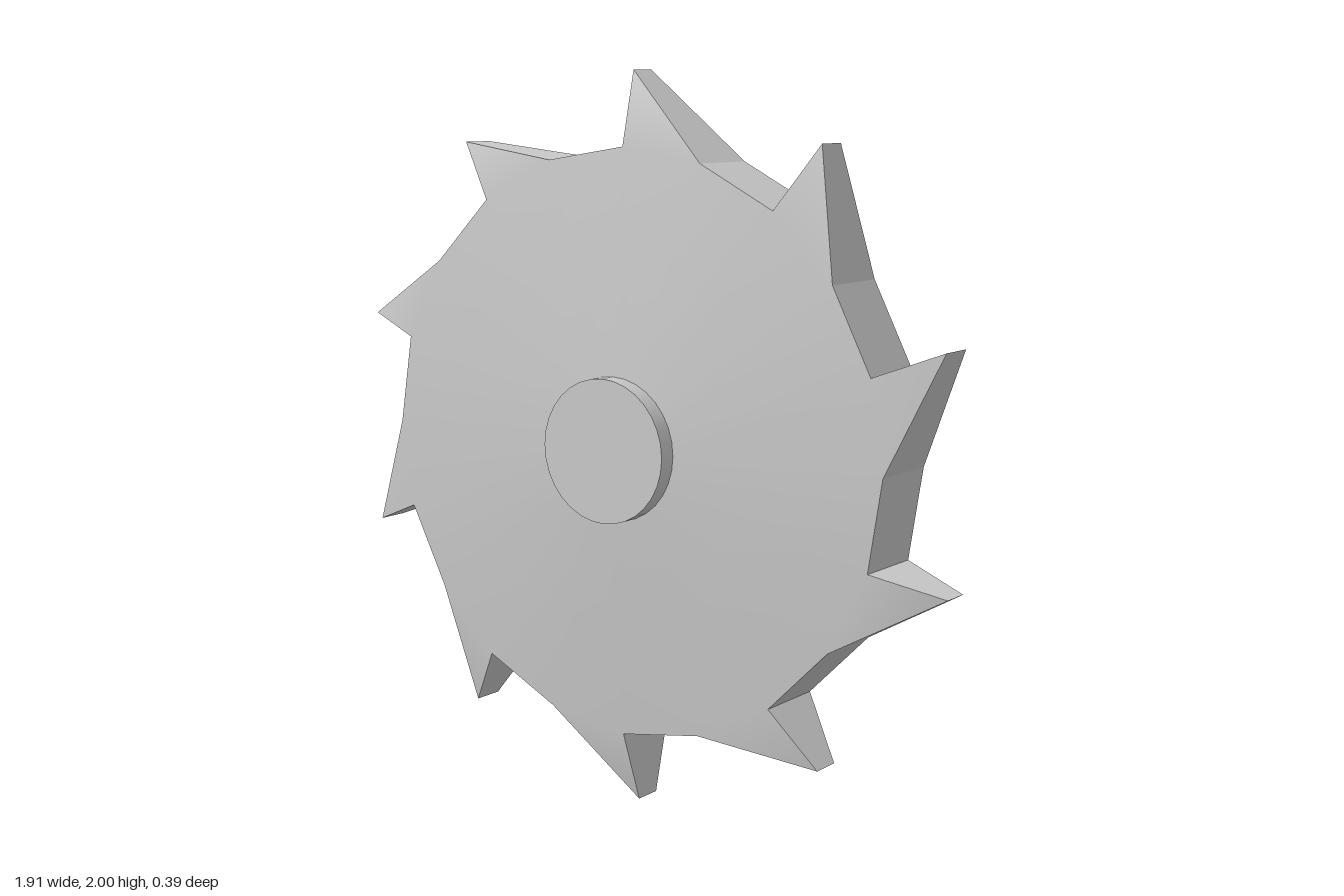
import * as THREE from 'three';

const TEETH = 10, RIM_R = 0.8, RIM_Z = 0.104, HUB_R = 0.195, HUB_Z = 0.148;
// front and back depth of each tooth tip, counter-clockwise from the top
const TIP_Z = [[0.04, -0.04], [0.04, -0.06], [0.035, -0.07], [0.04, -0.05], [0.04, -0.05],
  [0.045, -0.035], [0.06, -0.025], [0.04, -0.04], [0.065, -0.035], [0.05, -0.04]];

const polar = (r, deg, z) => {
  const a = THREE.MathUtils.degToRad(deg);
  return [r * Math.cos(a), r * Math.sin(a), z];
};

// One side of the disc: a shallow cone from hub to rim plus the tooth flanks
function discSide(side) {
  const s = side === 0 ? 1 : -1, n = TEETH * 2, pos = [], index = [];
  for (let k = 0; k < n; k++) pos.push(...polar(HUB_R * 0.9, 90 + 18 * k, s * HUB_Z));
  for (let k = 0; k < n; k++) pos.push(...polar(RIM_R, 90 + 18 * k, s * RIM_Z));
  for (let i = 0; i < TEETH; i++) pos.push(...polar(1, 90.6 + 36 * i, TIP_Z[i][side]));
  const tri = (a, b, c) => index.push(...(s > 0 ? [a, b, c] : [a, c, b]));
  for (let k = 0; k < n; k++) {
    const m = (k + 1) % n;
    tri(k, n + k, n + m);
    tri(k, n + m, m);
  }
  for (let i = 0; i < TEETH; i++) tri(n + (2 * i + n - 1) % n, 2 * n + i, n + 2 * i);
  const g = new THREE.BufferGeometry();
  g.setAttribute('position', new THREE.Float32BufferAttribute(pos, 3));
  g.setIndex(index);
  g.computeVertexNormals();
  return g;
}

// Flat facets running around the toothed outline
function rimBand() {
  const outline = [], pos = [];
  for (let i = 0; i < TEETH; i++) {
    const a = 90 + 36 * i;
    outline.push(TIP_Z[i].map(z => polar(1, a + 0.6, z)));
    outline.push([RIM_Z, -RIM_Z].map(z => polar(RIM_R, a, z)));
    outline.push([RIM_Z, -RIM_Z].map(z => polar(RIM_R, a + 18, z)));
  }
  outline.forEach(([f0, b0], i) => {
    const [f1, b1] = outline[(i + 1) % outline.length];
    pos.push(...f0, ...b0, ...b1, ...f0, ...b1, ...f1);
  });
  const g = new THREE.BufferGeometry();
  g.setAttribute('position', new THREE.Float32BufferAttribute(pos, 3));
  g.computeVertexNormals();
  return g;
}

export function createModel() {
  const group = new THREE.Group();
  const material = new THREE.MeshStandardMaterial({ color: 0xcccccc });
  const add = (name, geometry) => {
    const mesh = new THREE.Mesh(geometry, material);
    mesh.name = name;
    mesh.position.y = 1;
    group.add(mesh);
  };
  add('bladeFront', discSide(0));
  add('bladeBack', discSide(1));
  add('toothedRim', rimBand());
  // Axle hub through the middle
  add('hub', new THREE.CylinderGeometry(HUB_R, HUB_R, 0.394, 32).rotateX(Math.PI / 2));
  return group;
}
